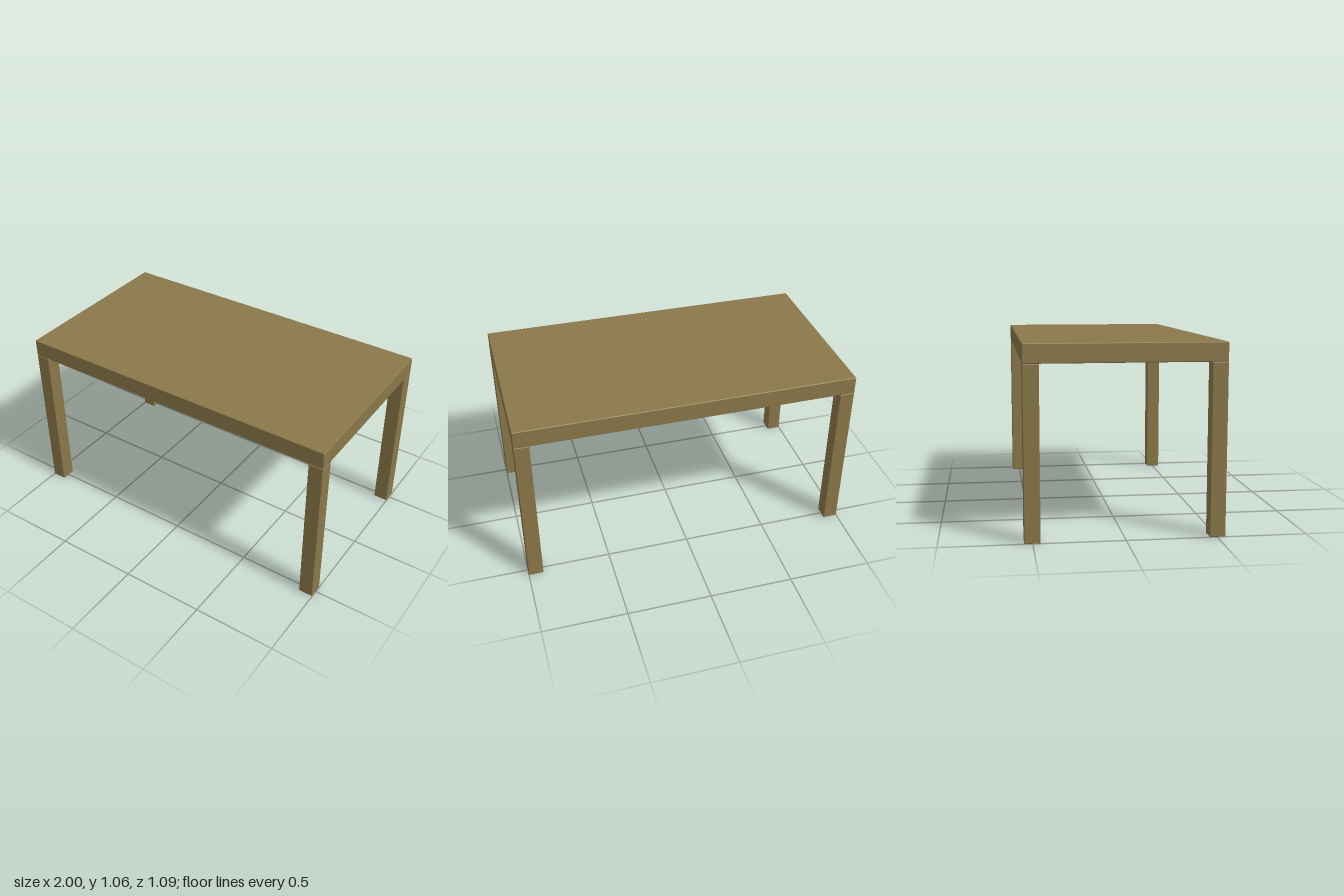
import * as THREE from 'three';
import { RoundedBoxGeometry } from 'three/addons/geometries/RoundedBoxGeometry.js';

const LENGTH = 2, DEPTH = 1.092, HEIGHT = 1.06;
const TOP = 0.106, LEG = 0.088, BEVEL = 0.005;

export function createModel() {
  const table = new THREE.Group();
  table.name = 'table';
  const wood = new THREE.MeshStandardMaterial({ color: 0x8b784a });

  // Box with slightly eased edges, standing on height y
  const addBlock = (name, w, h, d, x, y, z) => {
    const mesh = new THREE.Mesh(new RoundedBoxGeometry(w, h, d, 2, BEVEL), wood);
    mesh.name = name;
    mesh.position.set(x, y + h / 2, z);
    table.add(mesh);
  };

  // Thick slab top
  const legHeight = HEIGHT - TOP;
  addBlock('tabletop', LENGTH, TOP, DEPTH, 0, legHeight, 0);

  // Four square legs flush with the corners
  for (const [side, sx] of [['Left', 1], ['Right', -1]]) {
    for (const [end, sz] of [['front', 1], ['back', -1]]) {
      addBlock(`${end}${side}Leg`, LEG, legHeight, LEG,
        sx * (LENGTH - LEG) / 2, 0, sz * (DEPTH - LEG) / 2);
    }
  }
  return table;
}
